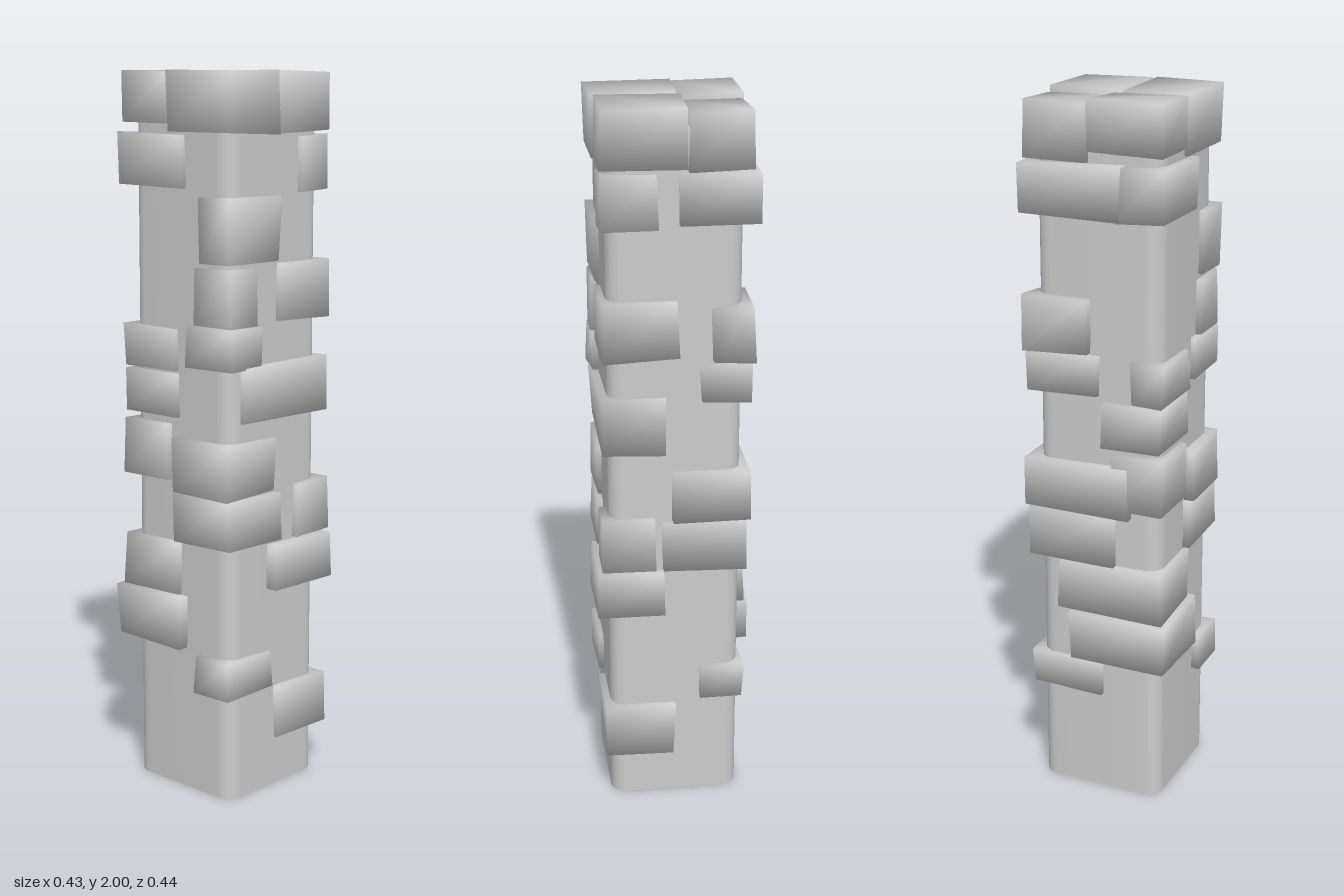
import * as THREE from 'three';
import { mergeVertices, toCreasedNormals } from 'three/addons/utils/BufferGeometryUtils.js';

const material = new THREE.MeshStandardMaterial({ color: 0xcccccc });

// Corner stones: [x from, x to, y from, y to, z from, z to]
const STONES = {
  frontLeft: [
    [0, 0.205, 0.135, 0.29, 0.01, 0.205],
    [-0.03, 0.205, 0.58, 0.71, 0.04, 0.222],
    [0.075, 0.2, 0.715, 0.865, 0.065, 0.212],
    [-0.14, 0.192, 1.06, 1.215, 0.03, 0.207],
    [0.005, 0.207, 1.33, 1.485, 0, 0.208],
    [0.085, 0.195, 1.675, 1.83, 0.055, 0.205],
    [0, 0.2, 1.835, 2, -0.025, 0.205],
  ],
  frontRight: [
    [-0.205, -0.025, 0.3, 0.405, 0.08, 0.203],
    [-0.205, 0.005, 0.72, 0.86, 0, 0.203],
    [-0.21, -0.015, 0.86, 1.015, 0, 0.203],
    [-0.2, -0.07, 1.21, 1.325, 0.04, 0.21],
    [-0.195, -0.09, 1.325, 1.48, 0.07, 0.208],
    [-0.2, 0, 1.5, 1.67, 0.09, 0.205],
    [-0.2, -0.008, 1.835, 2, -0.025, 0.207],
  ],
  backLeft: [
    [-0.02, 0.203, 0.3, 0.4, -0.185, -0.058],
    [-0.05, 0.2, 0.71, 0.86, -0.188, 0.045],
    [-0.1, 0.212, 0.86, 1.005, -0.203, 0.02],
    [-0.01, 0.2, 1.2, 1.31, -0.193, -0.06],
    [0.02, 0.208, 1.315, 1.465, -0.203, -0.09],
    [-0.08, 0.212, 1.69, 1.83, -0.212, -0.005],
    [0.02, 0.2, 1.835, 1.985, -0.193, -0.027],
  ],
  backRight: [
    [-0.215, 0.07, 0.415, 0.56, -0.216, 0.03],
    [-0.2, 0.11, 0.565, 0.71, -0.2, 0.005],
    [-0.2, -0.05, 0.885, 1.045, -0.2, -0.03],
    [-0.193, -0.02, 1.06, 1.19, -0.195, 0],
    [-0.2, -0.11, 1.195, 1.31, -0.195, 0],
    [-0.205, -0.07, 1.69, 1.835, -0.205, 0.03],
    [-0.198, 0.015, 1.86, 1.995, -0.2, -0.028],
  ],
};

// Small repeatable random numbers between -1 and 1
function makeRandom(seed) {
  return () => {
    seed = (seed * 16807) % 2147483647;
    return (seed / 2147483647) * 2 - 1;
  };
}

// A rough-cut block: eight shared corners, nudged, with soft shading
function stoneGeometry([x0, x1, y0, y1, z0, z1], random) {
  let geometry = new THREE.BoxGeometry(x1 - x0, y1 - y0, z1 - z0);
  geometry.deleteAttribute('normal');
  geometry.deleteAttribute('uv');
  geometry = mergeVertices(geometry);
  geometry.translate((x0 + x1) / 2, (y0 + y1) / 2, (z0 + z1) / 2);
  const p = geometry.attributes.position;
  for (let i = 0; i < p.count; i++) {
    p.setXYZ(
      i,
      p.getX(i) + random() * 0.006,
      Math.min(2, p.getY(i) + random() * 0.006),
      p.getZ(i) + random() * 0.006
    );
  }
  geometry.computeVertexNormals();
  return geometry;
}

// Square shaft with rounded vertical edges
function shaftGeometry(width, height, r) {
  const h = width / 2;
  const c = h - r;
  const shape = new THREE.Shape();
  shape.absarc(c, c, r, 0, Math.PI / 2);
  shape.absarc(-c, c, r, Math.PI / 2, Math.PI);
  shape.absarc(-c, -c, r, Math.PI, Math.PI * 1.5);
  shape.absarc(c, -c, r, Math.PI * 1.5, Math.PI * 2);
  shape.closePath();
  const geometry = new THREE.ExtrudeGeometry(shape, { depth: height, bevelEnabled: false, curveSegments: 6 });
  geometry.rotateX(-Math.PI / 2);
  return toCreasedNormals(geometry, 0.6);
}

export function createModel() {
  const model = new THREE.Group();
  model.name = 'stonePillar';

  const shaft = new THREE.Mesh(shaftGeometry(0.365, 1.94, 0.045), material);
  shaft.name = 'shaft';
  shaft.position.set(-0.002, 0, 0.007);
  model.add(shaft);

  const random = makeRandom(71);
  for (const [corner, boxes] of Object.entries(STONES)) {
    const group = new THREE.Group();
    group.name = corner + 'Stones';
    boxes.forEach((box, i) => {
      const stone = new THREE.Mesh(stoneGeometry(box, random), material);
      stone.name = i === boxes.length - 1 ? 'capStone' : 'cornerStone';
      group.add(stone);
    });
    model.add(group);
  }
  return model;
}
